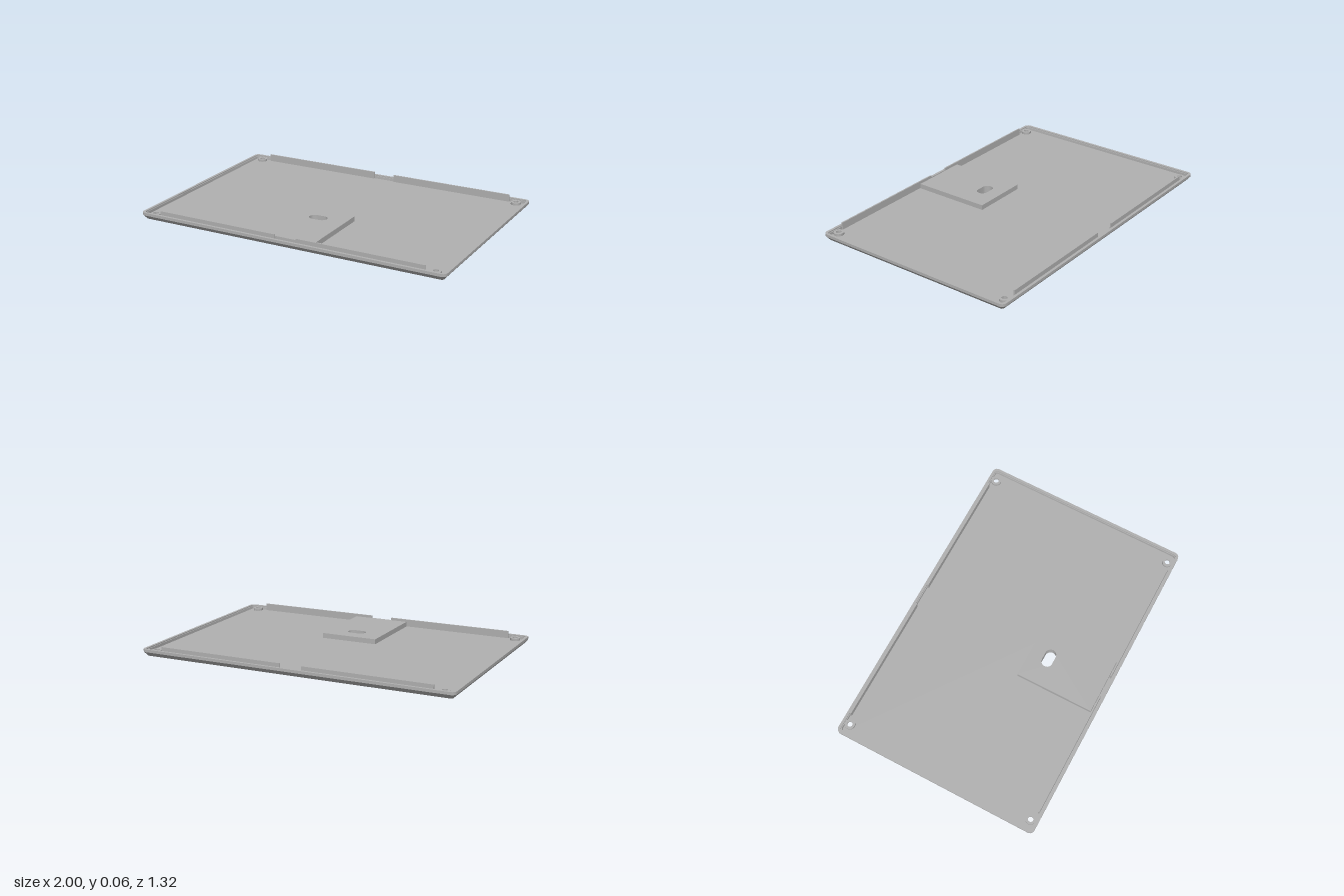
import * as THREE from 'three';
import { toCreasedNormals } from 'three/addons/utils/BufferGeometryUtils.js';

const grey = new THREE.MeshStandardMaterial({ color: 0xb0b0b0 });
grey.name = 'grey plastic';

// Counter-clockwise rounded rectangle outline, in x and z
function roundedRect(hx, hz, r, cx = 0, cz = 0, seg = 6) {
  const pts = [];
  [[1, 1], [-1, 1], [-1, -1], [1, -1]].forEach(([sx, sz], q) => {
    for (let i = 0; i <= seg; i++) {
      const a = (q + i / seg) * Math.PI / 2;
      pts.push(new THREE.Vector2(cx + sx * (hx - r) + r * Math.cos(a), cz + sz * (hz - r) + r * Math.sin(a)));
    }
  });
  return pts;
}

const outline = (inset) => roundedRect(1 - inset, 0.66 - inset, Math.max(0.03 - inset * 0.7, 0.01));

// Flat plate between two heights, with holes
function plate(points, holes, y0, y1) {
  const shape = new THREE.Shape(points);
  holes.forEach((h) => shape.holes.push(new THREE.Path(h)));
  const g = new THREE.ExtrudeGeometry(shape, { depth: y1 - y0, bevelEnabled: false });
  return toCreasedNormals(g.rotateX(Math.PI / 2).translate(0, y1, 0), 0.6);
}

// Surface through outlines given as [inset, height]
function loft(profile) {
  const rings = profile.map(([inset, y]) => outline(inset).map((p) => [p.x, y, p.y]));
  const pos = [];
  const n = rings[0].length;
  for (let k = 0; k < rings.length - 1; k++) {
    for (let i = 0; i < n; i++) {
      const j = (i + 1) % n;
      const a = rings[k][i], b = rings[k][j], c = rings[k + 1][i], d = rings[k + 1][j];
      pos.push(...a, ...c, ...b, ...b, ...c, ...d);
    }
  }
  const g = new THREE.BufferGeometry();
  g.setAttribute('position', new THREE.Float32BufferAttribute(pos, 3));
  return toCreasedNormals(g, 0.5);
}

export function createModel() {
  const model = new THREE.Group();
  const add = (name, geometry, x = 0, y = 0, z = 0) => {
    const mesh = new THREE.Mesh(geometry, grey);
    mesh.name = name;
    mesh.position.set(x, y, z);
    model.add(mesh);
  };
  const floorY = 0.02;
  const screws = [[0.923, 0.61], [-0.923, 0.61], [-0.923, -0.61], [0.923, -0.61]];

  // Bevelled rim with a small inner step
  add('rim', loft([[0.022, 0], [0, 0.026], [0, 0.043], [0.016, 0.043], [0.016, 0.036], [0.021, 0.036], [0.022, floorY]]));

  // Openings: cable hole and two stepped mounting grooves
  const cableHole = roundedRect(0.058, 0.034, 0.0335, 0, 0.25);
  const grooves = [1, -1].map((s) => [
    [0.065, 0.19], [0.15, 0.19], [0.15, 0.38], [0.125, 0.38], [0.125, 0.62], [0.065, 0.62],
  ].map(([x, z]) => new THREE.Vector2(s * x, z)));
  const screwHoles = screws.map(([x, z]) => roundedRect(0.027, 0.027, 0.0269, x, z));

  add('floor', plate(outline(0.022), [cableHole, ...grooves, ...screwHoles], 0, floorY));

  // Raised mounting block, hollowed by the grooves from below
  const block = [[-0.18, 0.13], [0.18, 0.13], [0.18, 0.625], [-0.18, 0.625]].map(([x, z]) => new THREE.Vector2(x, z));
  add('mountBlock', plate(block, [cableHole, ...grooves], floorY, 0.04));
  add('mountBlockTop', plate(block, [cableHole], 0.04, 0.051));

  // Counterbored screw bosses
  const bossProfile = [[0.031, 0.018], [0.031, 0.035], [0.016, 0.035], [0.016, 0.024], [0.0265, 0.024], [0.0265, 0]]
    .map(([r, y]) => new THREE.Vector2(r, y));
  const boss = toCreasedNormals(new THREE.LatheGeometry(bossProfile, 28), 0.6);
  screws.forEach(([x, z]) => add('screwBoss', boss, x, 0, z));

  // Upright snap lips along the front and back
  const lipHeight = 0.065 - floorY;
  const lip = new THREE.BoxGeometry(0.8, lipHeight, 0.009);
  for (const sx of [1, -1]) {
    for (const sz of [1, -1]) add(sz > 0 ? 'frontLip' : 'backLip', lip, sx * 0.47, floorY + lipHeight / 2, sz * 0.634);
  }
  return model;
}
